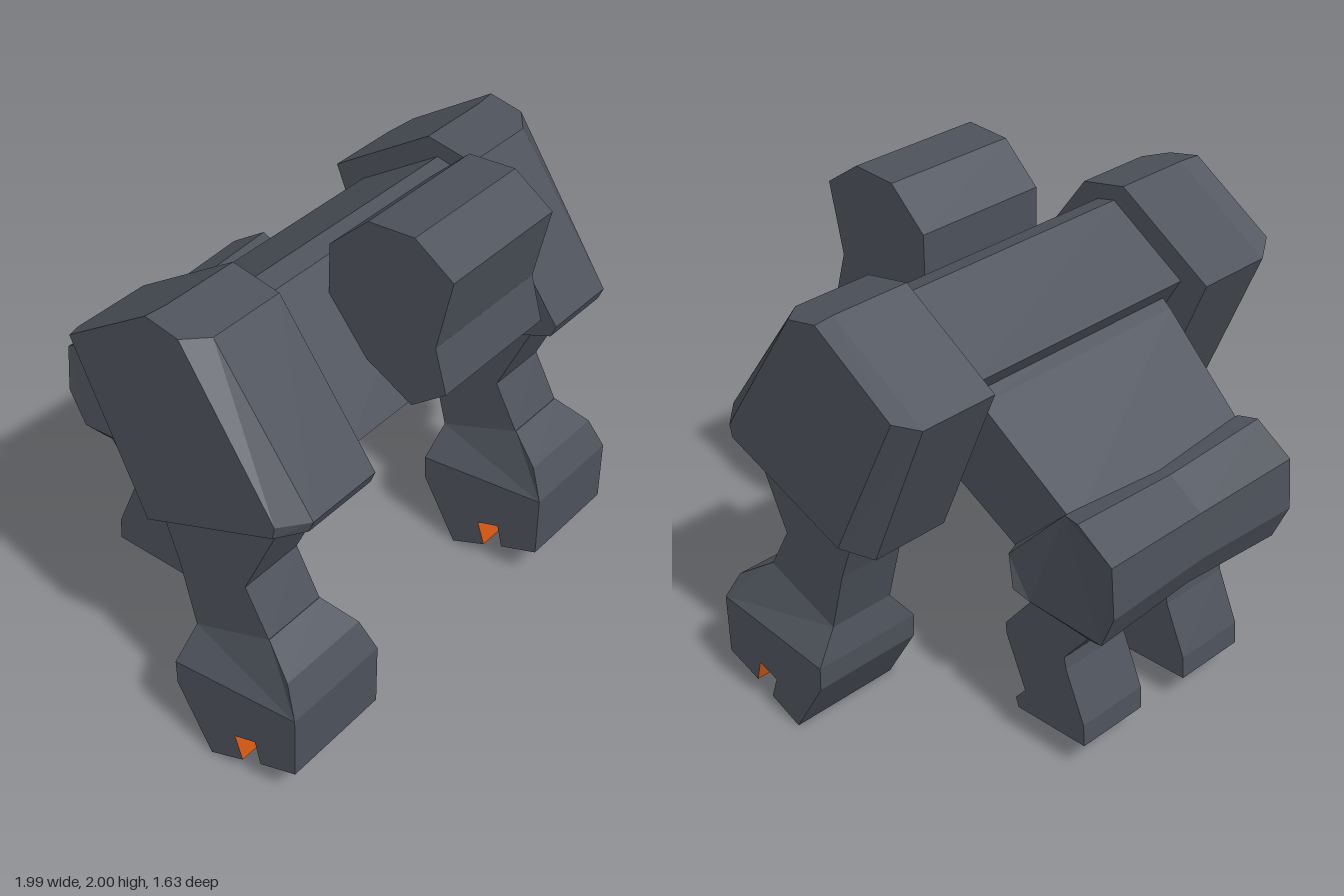
import * as THREE from 'three';

const material = (name, color) => Object.assign(new THREE.MeshStandardMaterial({ color }), { name });

// Flat-faced geometry from triangle corners
function facets(corners) {
  const g = new THREE.BufferGeometry();
  g.setAttribute('position', new THREE.Float32BufferAttribute(corners.flat(), 3));
  g.computeVertexNormals();
  return g;
}

const fan = (pts) => pts.slice(2).flatMap((p, i) => [pts[0], pts[i + 1], p]);
const mirrored = (pts) => pts.map(([x, y, z]) => [-x, y, z]).reverse();

// Side profile of [z, y, halfWidth?] running front, top, back, bottom -> section of [x, y, z]
const section = (profile, centre, half, sign) =>
  profile.map(([z, y, w = half]) => [centre + sign * w, y, z]);

// Skin between sections ordered by x, with end caps; accent edges go to material 1
function loft(sections, accent = []) {
  const main = [], extra = [];
  for (let s = 0; s + 1 < sections.length; s++) {
    const a = sections[s], b = sections[s + 1];
    a.forEach((p, i) => {
      const j = (i + 1) % a.length;
      (accent.includes(i) ? extra : main).push(p, b[i], b[j], p, b[j], a[j]);
    });
  }
  [sections[0], sections.at(-1)].forEach((ring, end) => {
    const flat = ring.map(([, y, z]) => new THREE.Vector2(z, y));
    for (const [i, j, k] of THREE.ShapeUtils.triangulateShape(flat, []))
      main.push(...(end ? [ring[k], ring[j], ring[i]] : [ring[i], ring[j], ring[k]]));
  });
  const g = facets([...main, ...extra]);
  g.addGroup(0, main.length, 0);
  g.addGroup(main.length, extra.length, 1);
  return g;
}

export function createModel() {
  const stone = material('stone', 0x4d525b);
  const glow = material('orange', 0xd05510);
  const white = material('eyeWhite', 0xc6c6c6);
  const model = new THREE.Group();

  const add = (name, geometry, mat = [stone, glow], parent = model) => {
    const mesh = new THREE.Mesh(geometry, mat);
    mesh.name = name;
    parent.add(mesh);
    return mesh;
  };
  const slab = (profile, centre, half) =>
    [section(profile, centre, half, -1), section(profile, centre, half, 1)];
  const flip = (sections) => sections.map((s) => s.map(([x, y, z]) => [-x, y, z])).reverse();
  const pair = (name, sections, accent) => {
    add('left' + name, loft(sections, accent));
    add('right' + name, loft(flip(sections), accent));
  };

  // Chest and tapering abdomen
  add('chest', loft(slab([[0.61, 1.28], [0.24, 1.73], [0.155, 1.75], [-0.19, 1.53], [0.05, 1.13]], 0, 0.56)));
  add('abdomen', loft(slab([
    [0.1, 1.16, 0.49], [-0.1, 1.5, 0.5], [-0.19, 1.435, 0.495], [-0.6, 1.1, 0.45], [-0.36, 0.85, 0.45],
  ], 0, 0.48)));

  // Pelvis, pinched along its middle
  const pelvis = [
    [-0.305, 0.86, 0.485], [-0.33, 0.91, 0.47], [-0.56, 1.135, 0.465], [-0.64, 1.145, 0.485],
    [-0.8, 1.04, 0.485], [-0.815, 0.83, 0.485], [-0.75, 0.68, 0.475], [-0.68, 0.645, 0.445],
    [-0.37, 0.66, 0.445], [-0.32, 0.71, 0.48],
  ];
  const pinch = pelvis.map(([z, y]) => [-0.56 + (z + 0.56) * 0.94, 0.9 + (y - 0.9) * 0.9, 0]);
  const [pelvisRight, pelvisLeft] = slab(pelvis, 0, 0.48);
  add('pelvis', loft([pelvisRight, section(pinch, 0, 0, 1), pelvisLeft]));

  // Shoulder blocks, bevelled on the outside
  const block = [[0.70, 1.18], [0.72, 1.23], [0.31, 1.78], [0.11, 1.82], [-0.315, 1.55], [-0.04, 0.9]];
  const bevel = [[0.62, 1.165], [0.63, 1.215], [0.24, 1.79], [0.1, 1.82], [-0.26, 1.59], [0.055, 0.95]];
  pair('Shoulder', [section(block, 0.55, 0, 1), section(block, 0.88, 0, 1), section(bevel, 0.97, 0, 1)]);

  // Arms, flared wrists and fists with a glowing slot
  pair('Forearm', slab([
    [0.54, 0.61], [0.435, 0.8], [0.62, 1.2], [0, 1.1], [0.13, 0.75], [0.2, 0.49],
  ], 0.76, 0.14));
  pair('Wrist', slab([
    [0.73, 0.41, 0.235], [0.67, 0.53, 0.2], [0.54, 0.615, 0.14], [0.2, 0.49, 0.14], [0.175, 0.36, 0.235],
  ], 0.76, 0.235));
  pair('Fist', slab([
    [0.73, 0.15], [0.73, 0.41], [0.175, 0.36], [0.18, 0.26], [0.335, 0],
    [0.485, 0.06], [0.45, 0.16], [0.545, 0.19], [0.57, 0.095],
  ], 0.76, 0.235), [5, 6, 7]);

  // Bent legs with small toes
  pair('Leg', slab([
    [-0.285, 0.165], [-0.335, 0.225], [-0.24, 0.44], [-0.235, 0.49], [-0.42, 0.72], [-0.7, 0.72],
    [-0.67, 0.66], [-0.535, 0.49], [-0.545, 0.44], [-0.635, 0.23], [-0.64, 0.135], [-0.3, 0.125],
  ], 0.278, 0.157));

  // Head: the face strip is left open for the sockets
  const head = new THREE.Group();
  head.name = 'head';
  model.add(head);
  const skull = loft(slab([
    [0.76, 1.61], [0.82, 1.89], [0.66, 2], [0.47, 1.99], [0.31, 1.84],
    [0.31, 1.62], [0.48, 1.44], [0.67, 1.335], [0.81, 1.44],
  ], 0, 0.287), [0]);
  skull.clearGroups();
  skull.setDrawRange(0, skull.attributes.position.count - 6);
  add('skull', skull, stone, head);

  // Sunken sockets, eyes and pupils
  const onFace = (pts, depth) => pts.map(([x, y]) => [x, y, 0.82 - 0.214 * (1.89 - y) - depth]);
  const rim = onFace([[0, 1.61], [0.287, 1.61], [0.287, 1.89], [0, 1.89]], 0);
  const floor = onFace([[0.075, 1.655], [0.19, 1.655], [0.19, 1.84], [0.085, 1.84]], 0.04);
  const socket = [floor, ...rim.map((p, i) => [p, rim[(i + 1) % 4], floor[(i + 1) % 4], floor[i]])];
  const eye = onFace([[0.09, 1.66], [0.165, 1.66], [0.184, 1.8], [0.172, 1.83], [0.11, 1.83], [0.1, 1.8]], 0.036);
  const pupil = onFace([[0.085, 1.66], [0.14, 1.66], [0.165, 1.77], [0.15, 1.8], [0.105, 1.77]], 0.032);
  for (const [side, turn] of [['left', (p) => p], ['right', mirrored]]) {
    add(side + 'Socket', facets(socket.flatMap((q) => fan(turn(q)))), stone, head);
    add(side + 'Eye', facets(fan(turn(eye))), white, head);
    add(side + 'Pupil', facets(fan(turn(pupil))), glow, head);
  }

  // Mouth under the chin
  add('mouth', facets(fan([
    [-0.11, 1.332, 0.673], [0.12, 1.332, 0.673], [0.115, 1.35, 0.697],
    [0.08, 1.362, 0.713], [-0.08, 1.362, 0.713], [-0.105, 1.35, 0.697],
  ])), glow, head);

  return model;
}
